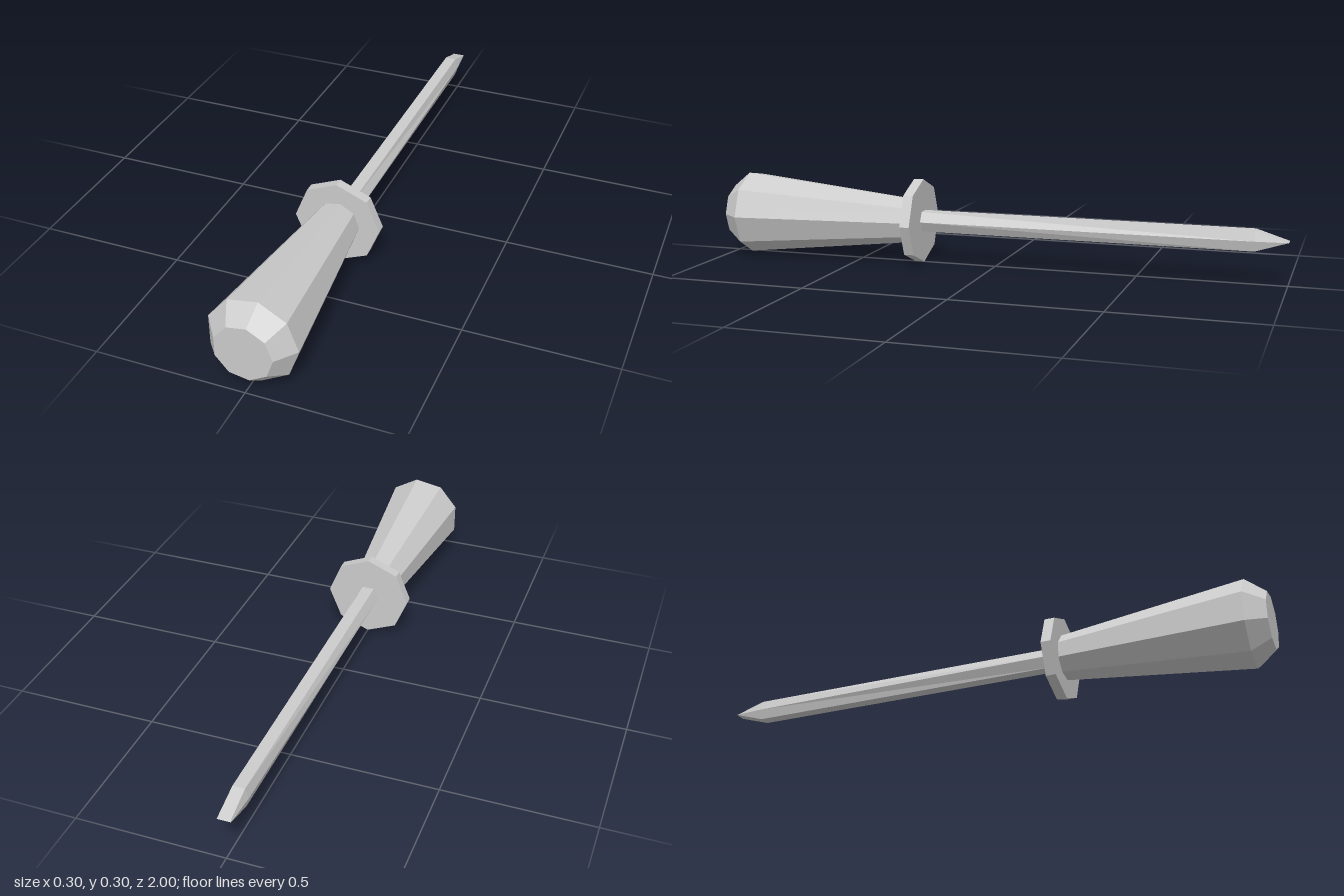
import * as THREE from 'three';

const AXIS_HEIGHT = 0.148;

export function createModel() {
  const group = new THREE.Group();
  const material = new THREE.MeshStandardMaterial({ color: 0xcccccc, flatShading: true });

  const add = (name, geometry) => {
    const mesh = new THREE.Mesh(geometry, material);
    mesh.name = name;
    mesh.position.y = AXIS_HEIGHT;
    group.add(mesh);
  };

  // Handle: nine-sided taper with a chamfered butt, turned to lie along z
  const profile = [[0, 0.29], [0.077, 0.29], [0.148, 0.935], [0.096, 1], [0, 1]]
    .map(([r, z]) => new THREE.Vector2(r, z));
  add('handle', new THREE.LatheGeometry(profile, 9, Math.PI / 2).rotateX(Math.PI / 2));

  // Guard: thin octagonal disc
  add('guard', new THREE.CylinderGeometry(0.148, 0.148, 0.035, 8)
    .rotateX(Math.PI / 2).translate(0, 0, 0.2825));

  // Shaft: six-sided bar, slightly narrowing, its last section flattened to a wedge.
  // Each ring: z, half width at the side corners, half width at the upper and lower corners, half height
  const rings = [
    [0.27, 0.04, 0.021, 0.035],
    [-0.89, 0.03, 0.02, 0.035],
    [-1, 0.022, 0.02, 0],
  ];
  const shaft = new THREE.CylinderGeometry(1, 1, 2, 6, 2, true, Math.PI / 2);
  const p = shaft.attributes.position;
  for (let i = 0; i < p.count; i++) {
    const [z, side, edge, half] = rings[1 - Math.round(p.getY(i))];
    const x = p.getX(i);
    const isSide = Math.abs(x) > 0.9;
    const y = isSide ? 0 : -Math.sign(p.getZ(i)) * half;
    p.setXYZ(i, Math.sign(x) * (isSide ? side : edge), y, z);
  }
  shaft.computeVertexNormals();
  add('shaft', shaft);

  return group;
}
